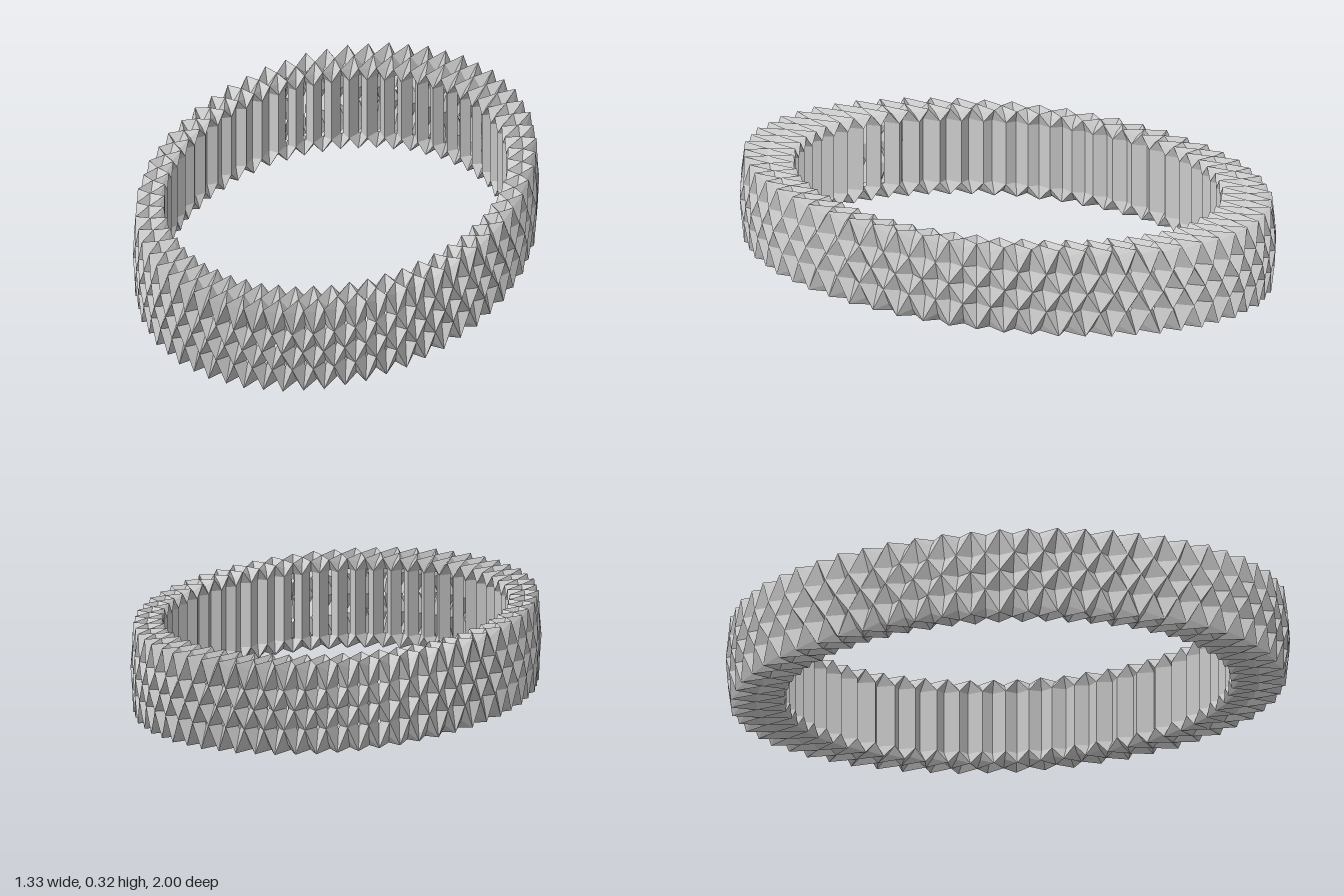
import * as THREE from 'three';

const CELLS = 60, COLS = CELLS * 2, CHORD = 4; // columns alternate peak / valley
const OUT = [0.667, 1.0], IN = [0.575, 0.787]; // half axes (x, z)

// Cross-section loop: [depth 0 outer..1 inner, y] of peak, then of valley, then parity
const OUTER = [
  [0.08, 0.0, 0.28, 0.03, 0],
  [0.02, 0.09, 0.3, 0.09, 1],
  [0.0, 0.16, 0.3, 0.16, 0],
  [0.02, 0.23, 0.3, 0.23, 1],
  [0.08, 0.32, 0.28, 0.29, 0],
];
const TOP = [[0.5, 0.32, 0.5, 0.28, 1]];
const INNER = [
  [0.98, 0.32, 0.8, 0.3, 0],
  [1.0, 0.275, 0.78, 0.275, 1],
  [1.0, 0.045, 0.78, 0.045, 1],
  [0.98, 0.0, 0.8, 0.02, 0],
];
const BOTTOM = [[0.5, 0.0, 0.5, 0.04, 1]];
const LOOP = [...OUTER, ...TOP, ...INNER, ...BOTTOM];

// Point on the oval, straight between every CHORD-th column
function oval(col, t) {
  const at = (c) => {
    const a = (c / COLS) * Math.PI * 2;
    return new THREE.Vector2(
      Math.sin(a) * THREE.MathUtils.lerp(OUT[0], IN[0], t),
      Math.cos(a) * THREE.MathUtils.lerp(OUT[1], IN[1], t));
  };
  const base = Math.floor(col / CHORD) * CHORD;
  return at(base).lerp(at(base + CHORD), (col - base) / CHORD);
}

function vertex(s, col) {
  const [t, y, tv, yv, parity] = LOOP[s % LOOP.length];
  const c = col % COLS;
  const peak = c % 2 === parity;
  const p = oval(c, peak ? t : tv);
  return { p: new THREE.Vector3(p.x, peak ? y : yv, p.y), peak };
}

// Folded band running round the oval between stations from..to
function band(name, from, to, material) {
  const pos = [];
  const tri = (...v) => v.forEach((q) => pos.push(q.x, q.y, q.z));
  // Facet at a valley v with peaks a, b; pierced at the thick ends of the oval
  const facet = (v, a, b, open) => {
    if (!open || Math.abs(v.z) < 0.66) return tri(v, a, b);
    const va = v.clone().lerp(a, 0.13), vb = v.clone().lerp(b, 0.13);
    tri(va, a, b);
    tri(va, b, vb);
  };
  for (let s = from; s < to; s++) {
    for (let c = 0; c < COLS; c++) {
      const A = vertex(s, c), B = vertex(s, c + 1), C = vertex(s + 1, c + 1), D = vertex(s + 1, c);
      const pierced = (k) => [1, 2, 3, 5, 10].includes(k % LOOP.length);
      if (A.peak && C.peak) {
        facet(B.p, C.p, A.p, pierced(s));
        facet(D.p, A.p, C.p, pierced(s + 1));
      } else if (B.peak && D.peak) {
        facet(A.p, B.p, D.p, pierced(s));
        facet(C.p, D.p, B.p, pierced(s + 1));
      } else {
        // Upright strip, with a narrow slit beside it at the thick ends
        const slit = Math.abs(A.p.z) > 0.6 ? 0.15 : 0;
        const a = A.p.clone(), b = B.p.clone(), cc = C.p.clone(), d = D.p.clone();
        if (A.peak) { b.lerp(a, slit); cc.lerp(d, slit); }
        else { a.lerp(b, slit); d.lerp(cc, slit); }
        tri(a, b, cc);
        tri(a, cc, d);
      }
    }
  }
  const geo = new THREE.BufferGeometry();
  geo.setAttribute('position', new THREE.Float32BufferAttribute(pos, 3));
  geo.computeVertexNormals();
  const mesh = new THREE.Mesh(geo, material);
  mesh.name = name;
  return mesh;
}

export function createModel() {
  const material = new THREE.MeshStandardMaterial({
    color: 0xcccccc, flatShading: true, side: THREE.DoubleSide,
  });
  const group = new THREE.Group();
  group.name = 'facetedBangle';
  group.add(
    band('outerDiamonds', 0, 4, material),
    band('topRim', 4, 6, material),
    band('innerStrips', 6, 9, material),
    band('bottomRim', 9, 11, material),
  );
  return group;
}
